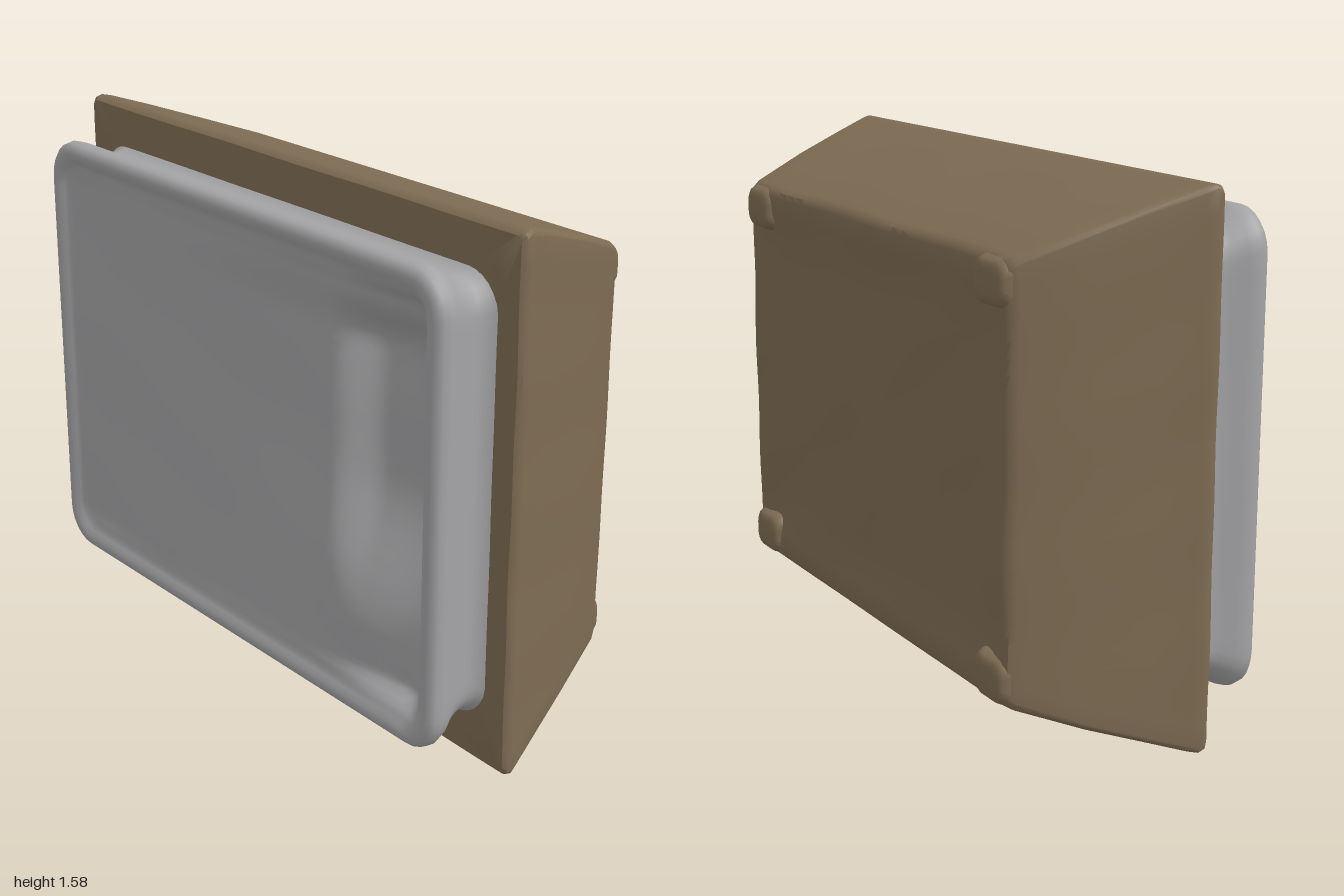
import * as THREE from 'three';
import { toCreasedNormals } from 'three/addons/utils/BufferGeometryUtils.js';

const CY = 0.8; // height of the centre line

// Rounded rectangle outline, counter-clockwise from the front, with subdivided sides
function outline(hx, hy, r, perSide = 26, perCorner = 6) {
  const pts = [];
  const corners = [[1, -1], [1, 1], [-1, 1], [-1, -1]];
  corners.forEach(([sx, sy], c) => {
    for (let i = 0; i <= perCorner; i++) {
      const a = (c - 1 + i / perCorner) * Math.PI / 2;
      pts.push([sx * (hx - r) + r * Math.cos(a), sy * (hy - r) + r * Math.sin(a)]);
    }
    const [nx, ny] = corners[(c + 1) % 4];
    const a = c * Math.PI / 2;
    const from = pts[pts.length - 1];
    const to = [nx * (hx - r) + r * Math.cos(a), ny * (hy - r) + r * Math.sin(a)];
    for (let i = 1; i < perSide; i++) {
      const t = i / perSide;
      pts.push([from[0] + (to[0] - from[0]) * t, from[1] + (to[1] - from[1]) * t]);
    }
  });
  return pts;
}

// Skin a list of rings running from back to front; move(x, y, z) may adjust each point
function loft(rings, crease, move = (x, y, z) => [x, y, z]) {
  const pos = [], index = [];
  let n = 0;
  for (const { hx, hy, r, z, s = 1 } of rings) {
    const pts = outline(hx, hy, r);
    n = pts.length;
    for (const [x, y] of pts) pos.push(...move(x * s, y * s, z));
  }
  for (let i = 0; i < rings.length - 1; i++) {
    for (let j = 0; j < n; j++) {
      const a = i * n + j, b = i * n + (j + 1) % n;
      index.push(a, b, a + n, b, b + n, a + n);
    }
  }
  const g = new THREE.BufferGeometry();
  g.setAttribute('position', new THREE.Float32BufferAttribute(pos, 3));
  g.setIndex(index);
  g.computeVertexNormals();
  return crease ? toCreasedNormals(g, crease) : g;
}

const step = (a, b, v) => THREE.MathUtils.smoothstep(v, a, b);

export function createModel() {
  const group = new THREE.Group();
  const wood = new THREE.MeshStandardMaterial({ color: 0x7e6c53 });
  const grey = new THREE.MeshStandardMaterial({ color: 0xa4a4a6 });
  const add = (name, geometry, material) => {
    const mesh = new THREE.Mesh(geometry, material);
    mesh.name = name;
    group.add(mesh);
    return mesh;
  };

  // Tapered housing: shallow back panel, softened edges, straight sides
  const back = { hx: 0.7, hy: 0.48, r: 0.04, z: -0.357 };
  const front = { hx: 0.978, hy: 0.776, r: 0.02, z: 0.174 };
  const housing = [
    ...[0, 0.2, 0.4, 0.6, 0.8, 1].map(s => ({ ...back, s })),
    { hx: 0.735, hy: 0.53, r: 0.04, z: -0.368 },
    { hx: 0.79, hy: 0.592, r: 0.035, z: -0.373 },
    { hx: 0.808, hy: 0.61, r: 0.03, z: -0.366 },
    { hx: 0.82, hy: 0.622, r: 0.025, z: -0.345 },
    { hx: 0.888, hy: 0.69, r: 0.02, z: -0.16 },
    { hx: 0.942, hy: 0.75, r: 0.02, z: 0.01 },
    { hx: 0.979, hy: 0.786, r: 0.02, z: 0.12 },
    { hx: 0.989, hy: 0.791, r: 0.02, z: 0.145 },
    { hx: 0.988, hy: 0.786, r: 0.02, z: 0.163 },
    front,
    { hx: 0.92, hy: 0.7, r: 0.08, z: 0.178 },
    { hx: 0.87, hy: 0.64, r: 0.1, z: 0.186 },
  ];
  // slightly uneven faces
  const rough = (x, y, z) => {
    const w = 0.003 * Math.sin(9 * x + 5 * y) * Math.cos(11 * y - 6 * z);
    return [x * (1 + w), y * (1 + w), z + (z < -0.3 ? 1.5 * w : 0)];
  };
  add('housing', loft(housing, 0.7, rough), wood).position.y = CY;

  // Low worn pads on the four back corners
  const foot = [
    { hx: 0.045, hy: 0.035, r: 0.03, z: -0.392, s: 0 },
    { hx: 0.045, hy: 0.035, r: 0.03, z: -0.392 },
    { hx: 0.062, hy: 0.05, r: 0.035, z: -0.389 },
    { hx: 0.076, hy: 0.06, r: 0.04, z: -0.38 },
    { hx: 0.084, hy: 0.068, r: 0.04, z: -0.36 },
    { hx: 0.086, hy: 0.07, r: 0.04, z: -0.33 },
  ];
  const footGeometry = loft(foot);
  for (const sx of [-1, 1]) {
    for (const sy of [-1, 1]) {
      add('backFoot', footGeometry, wood).position.set(sx * 0.728, CY + sy * 0.545, 0);
    }
  }

  // Screen block: narrow neck, bulging rim, then a sunken face
  const ring = (inset, z, s = 1, insetY = inset) =>
    ({ hx: 0.92 - inset, hy: 0.697 - insetY, r: 0.12 - inset * 0.6, z, s });
  const screen = [
    ring(0.01, 0.174, 1, 0.035), ring(0.03, 0.192, 1, 0.05), ring(0.037, 0.22, 1, 0.055),
    ring(0.036, 0.25, 1, 0.05), ring(0.026, 0.285, 1, 0.035), ring(0.008, 0.32, 1, 0.01),
    ring(0, 0.35), ring(0.004, 0.373), ring(0.016, 0.386), ring(0.032, 0.39),
    ring(0.048, 0.386), ring(0.062, 0.377), ring(0.075, 0.37),
  ];
  for (let i = 1; i <= 40; i++) screen.push(ring(0.075, 0.37, 1 - i / 40));

  // Face sinking in steps towards its left end, with a steep wall at the rim and faint ripples
  const dent = (x, y, z) => {
    const inside = step(0, 0.06, 0.845 - Math.abs(x)) * step(0, 0.06, 0.622 - Math.abs(y));
    if (z > 0.3701 || z < 0.3699 || inside === 0) return [x, y, z];
    const upper = step(-0.6, 0.2, y) * step(0, 0.17, 0.58 - y);
    const basin = 0.03 * step(-0.5, 0.3, x) * upper;
    const drop = 0.075 * step(0.42, 0.56, x) * step(-0.45, 0, y) * step(0, 0.17, 0.55 - y);
    const side = 0.05 * step(0.45, 0.78, x);
    const ripple = 0.005 * Math.sin(7 * x + 4 * y) * Math.cos(8 * y - 3 * x);
    return [x, y, z - inside * (0.008 + basin + drop + side + ripple)];
  };
  add('screen', loft(screen, 0, dent), grey).position.set(0.005, CY + 0.005, 0);

  return group;
}
